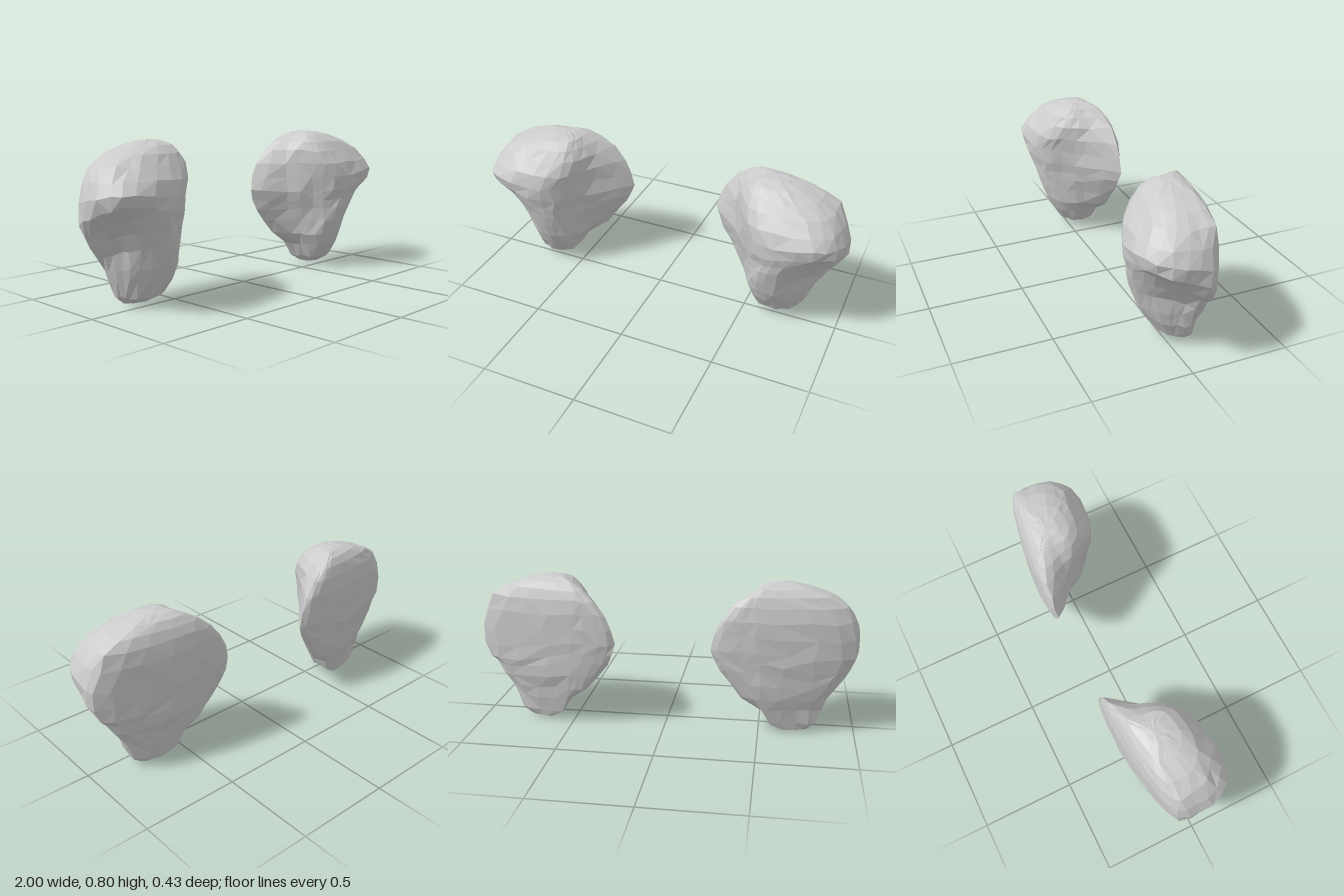
import * as THREE from 'three';

// Horizontal sections, bottom to top:
// y, inner tip x, tip z, ridge x, front z, outer face x, back corner x, corner z, back z
const LEVELS = [
  [0.01, 0.62, -0.09, 0.63, -0.04, 0.74, 0.75, -0.09, -0.12],
  [0.05, 0.56, -0.10, 0.57, 0.04, 0.79, 0.79, -0.10, -0.14],
  [0.13, 0.51, -0.13, 0.54, 0.09, 0.82, 0.82, -0.10, -0.16],
  [0.20, 0.41, -0.16, 0.53, 0.125, 0.83, 0.85, -0.10, -0.18],
  [0.28, 0.35, -0.17, 0.54, 0.155, 0.84, 0.89, -0.10, -0.195],
  [0.35, 0.30, -0.18, 0.55, 0.18, 0.88, 0.93, -0.10, -0.20],
  [0.40, 0.27, -0.185, 0.55, 0.19, 0.93, 0.96, -0.10, -0.205],
  [0.46, 0.25, -0.19, 0.54, 0.205, 0.99, 0.985, -0.10, -0.21],
  [0.54, 0.27, -0.19, 0.53, 0.21, 1.00, 0.98, -0.11, -0.21],
  [0.62, 0.30, -0.19, 0.50, 0.185, 0.97, 0.95, -0.12, -0.21],
  [0.69, 0.36, -0.18, 0.48, 0.14, 0.92, 0.91, -0.12, -0.20],
  [0.74, 0.42, -0.16, 0.49, 0.095, 0.84, 0.83, -0.12, -0.18],
  [0.775, 0.48, -0.14, 0.51, 0.045, 0.74, 0.73, -0.11, -0.155],
  [0.793, 0.53, -0.11, 0.55, -0.01, 0.66, 0.66, -0.08, -0.12],
];
const SIDES = 24;

function seeded(seed) {
  return () => (seed = (seed * 16807) % 2147483647) / 2147483647 - 0.5;
}

// Closed outline: sloping inner flank, blunt front, outer face, shallow back
function outline([y, xi, zi, xr, zf, xm, xo, zc, zb]) {
  const mix = THREE.MathUtils.lerp;
  // The shelf under the outer bulge climbs toward the front
  const tilt = 0.5 * Math.max(0, 1 - Math.abs(y - 0.4) / 0.25);
  // The stem below the shelf has a rounder outer front corner
  const stem = 1 - THREE.MathUtils.smoothstep(y, 0.32, 0.5);
  const points = [
    [xi, zi],
    [mix(xi, xr, 0.5), mix(zi, zf, 0.38)],
    [mix(xi, xr, 0.86), mix(zi, zf, 0.68)],
    [mix(xr, xm, 0.08), mix(zi, zf, 0.89)],
    [mix(xr, xm, 0.34), zf],
    [mix(xr, xm, 0.74 - 0.08 * stem), mix(zi, zf, 0.97 - 0.06 * stem)],
    [mix(xr, xm, 0.95 - 0.06 * stem), mix(zc, zf, 0.7 - 0.1 * stem)],
    [xm, mix(zc, zf, 0.3)],
    [xo, zc],
    [mix(xr, xo, 0.55), mix(zc, zb, 0.65)],
    [mix(xi, xr, 0.8), zb],
    [mix(xi, xr, 0.3), mix(zi, zb, 0.9)],
  ].map(([x, z]) => new THREE.Vector3(x, y + tilt * z * THREE.MathUtils.smoothstep(x, xr, xm), z));
  return new THREE.CatmullRomCurve3(points, true, 'centripetal');
}

function lobeGeometry(side, seed) {
  const random = seeded(seed);
  const positions = [];
  const index = [];
  const face = (a, b, c) => index.push(...(side > 0 ? [a, b, c] : [a, c, b]));

  // Rings with slightly irregular facets
  LEVELS.forEach((level, row) => {
    const curve = outline(level);
    const rough = row === 0 || row > LEVELS.length - 4 ? 0.005 : 0.014;
    for (let i = 0; i < SIDES; i++) {
      const p = curve.getPoint((i + random() * 0.3) / SIDES);
      positions.push(side * (p.x + random() * rough), p.y + random() * rough, p.z + random() * rough * 0.6);
    }
  });

  // Skin between rings, with alternating diagonals
  for (let row = 0; row < LEVELS.length - 1; row++) {
    for (let i = 0; i < SIDES; i++) {
      const a = row * SIDES + i;
      const b = row * SIDES + (i + 1) % SIDES;
      const c = a + SIDES;
      const d = b + SIDES;
      if (random() > 0) {
        face(a, b, d);
        face(a, d, c);
      } else {
        face(a, b, c);
        face(b, d, c);
      }
    }
  }

  // End caps
  const bottom = positions.length / 3;
  positions.push(side * 0.69, 0, -0.09, side * 0.6, 0.8, -0.07);
  const last = (LEVELS.length - 1) * SIDES;
  for (let i = 0; i < SIDES; i++) {
    const next = (i + 1) % SIDES;
    face(bottom, next, i);
    face(bottom + 1, last + i, last + next);
  }

  const geometry = new THREE.BufferGeometry();
  geometry.setAttribute('position', new THREE.Float32BufferAttribute(positions, 3));
  geometry.setIndex(index);
  geometry.computeVertexNormals();
  return geometry;
}

export function createModel() {
  const group = new THREE.Group();
  const material = new THREE.MeshStandardMaterial({ color: 0xcccccc, flatShading: true });
  // Mirrored pair of faceted lobes
  for (const [name, side, seed] of [['leftLobe', 1, 71], ['rightLobe', -1, 1234]]) {
    const lobe = new THREE.Mesh(lobeGeometry(side, seed), material);
    lobe.name = name;
    group.add(lobe);
  }
  return group;
}
